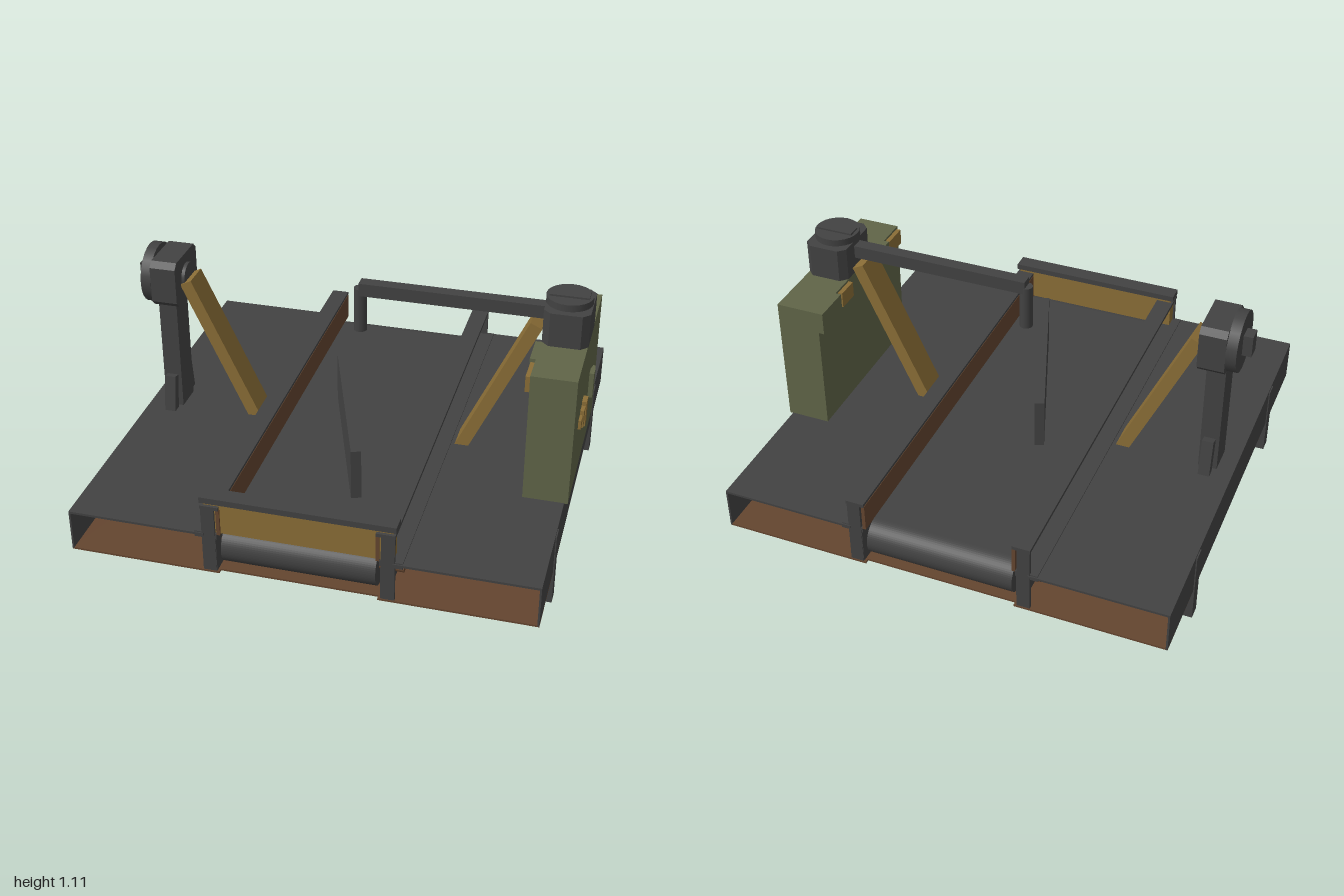
import * as THREE from 'three';

export function createModel() {
  const model = new THREE.Group();
  const mat = (name, color) => {
    const m = new THREE.MeshStandardMaterial({ color });
    m.name = name;
    return m;
  };
  const steel = mat('dark steel', 0x424242);
  const brown = mat('brown primer', 0x64452f);
  const ochre = mat('ochre', 0x8a6d36);
  const olive = mat('olive', 0x606548);

  const add = (name, geo, m) => {
    const mesh = new THREE.Mesh(geo, m);
    mesh.name = name;
    model.add(mesh);
    return mesh;
  };
  // Box given by its limits on each axis
  const box = (name, m, x0, x1, y0, y1, z0, z1) => {
    const mesh = add(name, new THREE.BoxGeometry(x1 - x0, y1 - y0, z1 - z0), m);
    mesh.position.set((x0 + x1) / 2, (y0 + y1) / 2, (z0 + z1) / 2);
    return mesh;
  };
  const cylinder = (name, m, r, length, axis, x, y, z, sides = 24) => {
    const geo = new THREE.CylinderGeometry(r, r, length, sides);
    if (axis === 'x') geo.rotateZ(Math.PI / 2);
    const mesh = add(name, geo, m);
    mesh.position.set(x, y, z);
    return mesh;
  };

  const C = -0.01; // centre line of the conveyor
  // Mirrored box: distances are measured outwards from the centre line
  const sideBox = (s, name, m, a, b, y0, y1, z0, z1) =>
    box(name, m, C + Math.min(s * a, s * b), C + Math.max(s * a, s * b), y0, y1, z0, z1);

  // Floor pan
  box('middleFloor', brown, C - 0.33, C + 0.33, 0.152, 0.16, -0.95, 0.95);
  const drain = cylinder('floorDrain', steel, 0.07, 0.006, 'y', 0, 0.15, 0.28);
  drain.scale.y = 0.8;

  for (const s of [-1, 1]) {
    // Side platforms, open at both ends
    sideBox(s, 'platformDeck', steel, 0.39, 0.975, 0.33, 0.34, -0.97, 0.97);
    sideBox(s, 'platformFloor', brown, 0.33, 0.975, 0.152, 0.16, -0.97, 0.97);
    sideBox(s, 'platformSkirt', steel, 0.967, 0.975, 0.152, 0.34, -0.97, 0.97);

    // Conveyor rails with a cap and end plates
    sideBox(s, 'railWeb', brown, 0.32, 0.335, 0.34, 0.462, -0.965, 0.965);
    sideBox(s, 'lowerBeam', steel, 0.34, 0.352, 0.16, 0.34, -0.965, 0.965);
    sideBox(s, 'railCap', steel, 0.322, 0.4, 0.46, 0.475, -0.97, 0.97);
    sideBox(s, 'railFoot', steel, 0.335, 0.43, 0.318, 0.345, -0.965, 0.965);

    for (const e of [-1, 1]) {
      const at = (d) => [e * 0.59 - d, e * 0.59 + d];
      box('railEndPlate', steel, C + s * 0.37 - 0.028, C + s * 0.37 + 0.028, 0.152, 0.47, e * 0.96 - 0.007, e * 0.96 + 0.007);
      // Legs and feet
      sideBox(s, 'outerLeg', steel, 0.93, 0.98, 0, 0.33, ...at(0.03));
      sideBox(s, 'innerLeg', steel, 0.342, 0.4, 0.012, 0.33, ...at(0.033));
      sideBox(s, 'innerFoot', brown, 0.3, 0.44, 0.003, 0.014, ...at(0.07));
      // Roller bearings
      sideBox(s, 'bearing', steel, 0.352, 0.385, 0.225, 0.3, e * 0.88 - 0.04, e * 0.88 + 0.04);
    }

    // Column with base plate and splayed stays
    const cx = s < 0 ? -0.87 : 0.85;
    box('column', steel, cx - 0.041, cx + 0.041, 0.02, s < 0 ? 0.88 : 0.4, -0.065, 0.065);
    const bx = s < 0 ? -0.84 : 0.825;
    box('columnBase', brown, bx - 0.092, bx + 0.092, 0.005, 0.024, -0.175, 0.175);
    for (const e of [-1, 1]) {
      const stay = add('columnStay', new THREE.BoxGeometry(0.05, 0.49, 0.04), steel);
      stay.position.set(cx, 0.26, e * 0.118);
      stay.rotation.x = -e * Math.atan2(0.075, 0.48);
    }

    // Sloping brace from the column head down to the conveyor
    const top = new THREE.Vector2(s < 0 ? -0.78 : 0.76, 0.97);
    const low = new THREE.Vector2(s < 0 ? -0.44 : 0.42, 0.24);
    const brace = add('brace', new THREE.BoxGeometry(0.055, top.distanceTo(low), 0.13), ochre);
    brace.position.set((top.x + low.x) / 2, (top.y + low.y) / 2, 0);
    brace.rotation.z = Math.atan2(low.x - top.x, top.y - low.y);
    sideBox(s, 'braceBracket', ochre, 0.4, 0.465, 0.16, 0.29, -0.065, 0.065);
  }

  // Cross bars between the inner legs
  for (const z of [-0.59, 0.59])
    box('crossBar', steel, C - 0.35, C + 0.35, 0.068, 0.113, z - 0.022, z + 0.022);

  // Belt loop
  const r = 0.082, half = 0.885;
  const loop = new THREE.Shape();
  loop.absarc(half, 0, r, -Math.PI / 2, Math.PI / 2, false);
  loop.absarc(-half, 0, r, Math.PI / 2, Math.PI * 1.5, false);
  loop.closePath();
  const beltGeo = new THREE.ExtrudeGeometry(loop, { depth: 0.64, bevelEnabled: false, curveSegments: 16 });
  beltGeo.translate(0, 0, -0.32).rotateY(Math.PI / 2);
  add('belt', beltGeo, steel).position.set(C, 0.26, 0);
  for (const z of [-half, half]) cylinder('rollerShaft', brown, 0.018, 0.84, 'x', C, 0.265, z, 16);

  // Front gate and slanting deflector on the belt
  box('gate', ochre, -0.4, 0.38, 0.345, 0.487, 0.897, 0.957);
  box('gateCap', steel, -0.412, 0.394, 0.486, 0.512, 0.893, 0.967);
  const deflector = add('deflector', new THREE.BoxGeometry(0.043, 0.228, 0.82), steel);
  deflector.position.set(-0.01, 0.456, 0.19);
  deflector.rotation.y = Math.atan2(0.27, 0.76);

  // Motor head on the left-hand column, facing outwards
  const headShape = (w, h, c) => {
    const p = [[-w + c, -h], [w - c, -h], [w, -h + c], [w, h - c], [w - c, h], [-w + c, h], [-w, h - c], [-w, -h + c]];
    return new THREE.Shape(p.map(([a, b]) => new THREE.Vector2(a, b)));
  };
  const headGeo = (w, h, c, depth) =>
    new THREE.ExtrudeGeometry(headShape(w, h, c), { depth, bevelEnabled: false });
  const sideHead = add('sideMotorBody', headGeo(0.128, 0.105, 0.025, 0.115).rotateY(Math.PI / 2), steel);
  sideHead.position.set(-0.915, 0.975, 0);
  cylinder('sideMotorFlange', steel, 0.132, 0.045, 'x', -0.937, 0.978, 0);
  box('sideMotorShaft', steel, -1, -0.955, 0.93, 1.025, -0.032, 0.032);
  cylinder('sideMotorHub', steel, 0.06, 0.02, 'x', -0.795, 0.975, 0);

  // Control cabinet
  box('cabinet', olive, 0.79, 0.98, 0.338, 0.92, -0.39, 0.39);
  box('cabinetLedge', olive, 0.765, 0.79, 0.82, 0.92, -0.39, -0.22);
  box('cabinetTab', ochre, 0.77, 0.79, 0.84, 0.91, -0.2, -0.1);
  box('cabinetLedge', olive, 0.765, 0.79, 0.82, 0.92, 0.1, 0.25);
  box('cabinetTab', ochre, 0.77, 0.79, 0.84, 0.91, 0.26, 0.38);
  // Stepped controls on the outer face
  [[0.094, 0.146, 0.059], [0.146, 0.19, 0.04], [0.19, 0.237, 0.021]].forEach(([a, b, h], i) => {
    const x1 = 1 - i * 0.004;
    box('ochreControl', ochre, 0.98, x1, 0.63 - h, 0.63 + h, a, b);
    box('oliveControl', olive, 0.98, x1, 0.63 - h, 0.63 + h, -b, -a);
  });

  // Upright motor on the cabinet
  const topHead = add('topMotorBody', headGeo(0.096, 0.128, 0.03, 0.15).rotateX(-Math.PI / 2), steel);
  topHead.position.set(0.886, 0.92, 0);
  cylinder('topMotorCap', steel, 0.098, 0.035, 'y', 0.882, 1.083, 0);
  box('topMotorRib', steel, 0.8, 0.965, 1.09, 1.108, -0.03, 0.03);

  // Overhead arm with its nozzle
  box('arm', steel, -0.01, 0.8, 0.99, 1.048, -0.028, 0.028);
  cylinder('nozzle', steel, 0.029, 0.2, 'y', -0.008, 0.917, 0, 12);
  return model;
}
